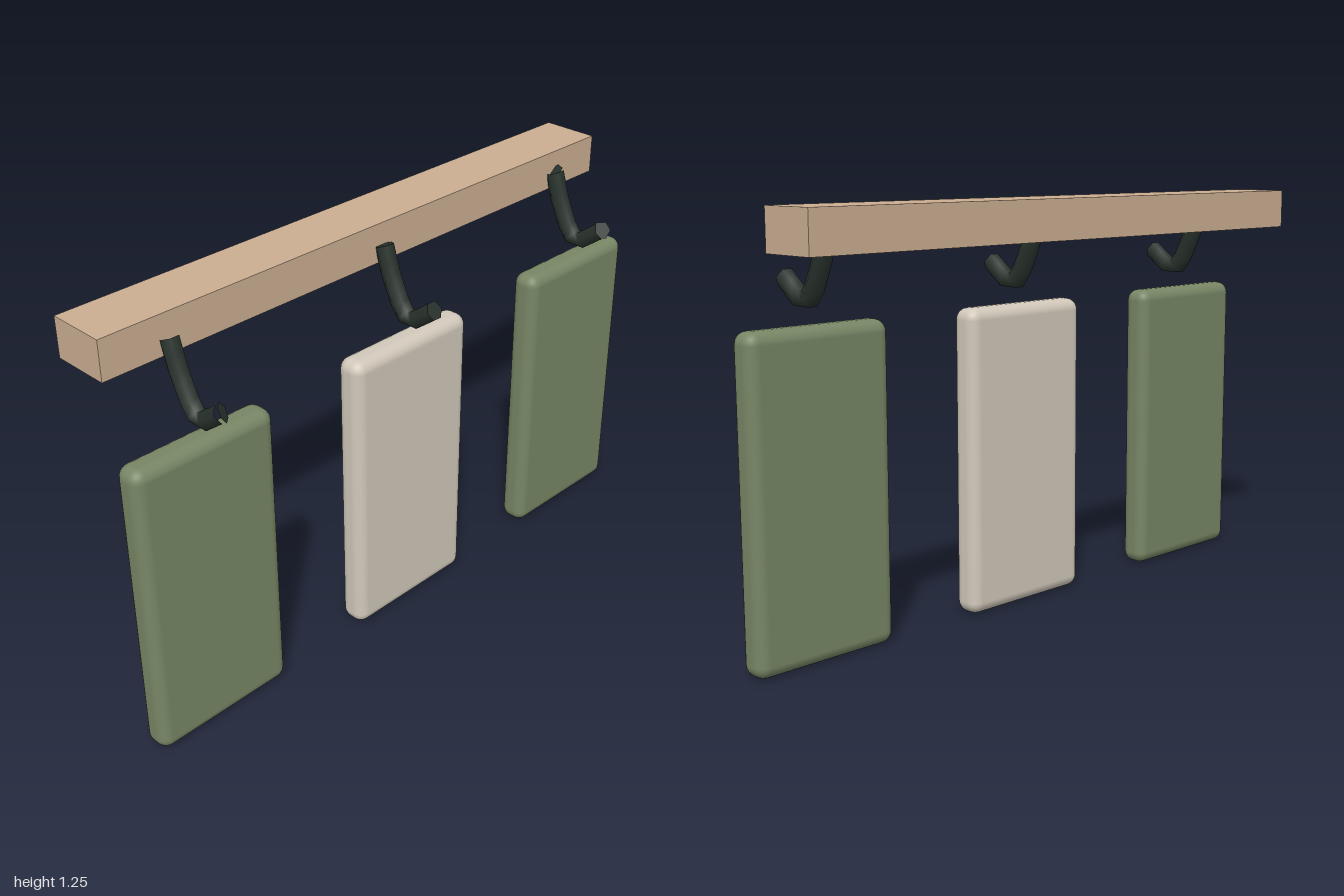
import * as THREE from 'three';
import { RoundedBoxGeometry } from 'three/addons/geometries/RoundedBoxGeometry.js';

const paint = (color) => new THREE.MeshStandardMaterial({ color });

function addMesh(parent, name, geometry, material, x = 0, y = 0, z = 0) {
  const mesh = new THREE.Mesh(geometry, material);
  mesh.name = name;
  mesh.position.set(x, y, z);
  parent.add(mesh);
  return mesh;
}

export function createModel() {
  const model = new THREE.Group();
  model.name = 'towelRack';

  const wood = paint(0xcbae92);
  const iron = paint(0x28322c);
  const green = paint(0x778665);
  const cream = paint(0xd1c8ba);

  // Wooden rail
  addMesh(model, 'rail', new THREE.BoxGeometry(1.94, 0.12, 0.18), wood, 0, 1.194, -0.113);

  // Bent hook: six-sided tube rising into the rail
  const hookRadius = 0.029;
  const hookPath = new THREE.CatmullRomCurve3([
    new THREE.Vector3(0, 1.191, -0.01),
    new THREE.Vector3(0, 1.083, 0.028),
    new THREE.Vector3(0, 0.993, 0.09),
    new THREE.Vector3(0, 1.052, 0.187),
  ]);
  const hookGeometry = new THREE.TubeGeometry(hookPath, 8, hookRadius, 6, false);
  const capGeometry = new THREE.CircleGeometry(hookRadius, 6);

  // Soft-edged hanging towel
  const towelGeometry = new RoundedBoxGeometry(0.464, 0.932, 0.091, 3, 0.036);

  for (const [side, x, color] of [['right', -0.768, green], ['middle', 0, cream], ['left', 0.768, green]]) {
    const hook = new THREE.Group();
    hook.name = `${side}Hook`;
    hook.position.x = x;
    addMesh(hook, 'hookBar', hookGeometry, iron);

    // Flat caps facing outward at both ends
    for (const [t, sign] of [[0, -1], [1, 1]]) {
      const p = hookPath.getPointAt(t);
      const cap = addMesh(hook, 'hookEnd', capGeometry, iron, p.x, p.y, p.z);
      cap.lookAt(p.clone().addScaledVector(hookPath.getTangentAt(t), sign));
    }
    model.add(hook);

    addMesh(model, `${side}Towel`, towelGeometry, color, x, 0.466, 0.069);
  }

  return model;
}
